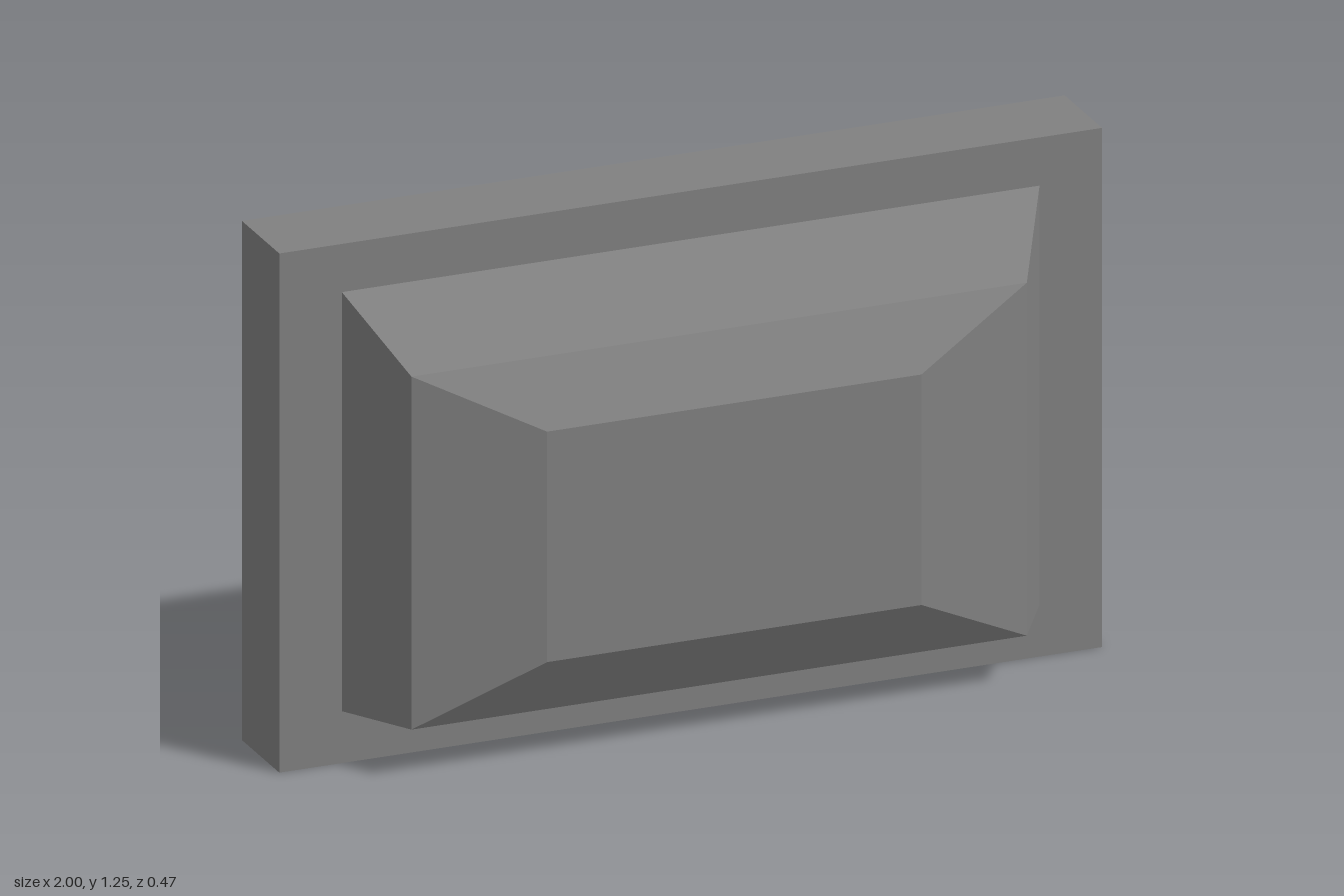
import * as THREE from 'three';

// Joins rectangular rings [halfWidth, bottom, top, z] with flat faces and caps the last ring.
function loftRects(rings) {
  const pos = [];
  const corners = rings.map(([w, y0, y1, z]) => [
    [-w, y0, z], [w, y0, z], [w, y1, z], [-w, y1, z],
  ]);
  const quad = (a, b, c, d) => pos.push(...a, ...b, ...c, ...a, ...c, ...d);
  for (let r = 0; r < corners.length - 1; r++) {
    for (let i = 0; i < 4; i++) {
      const j = (i + 1) % 4;
      quad(corners[r][i], corners[r][j], corners[r + 1][j], corners[r + 1][i]);
    }
  }
  quad(...corners[corners.length - 1]);
  const geo = new THREE.BufferGeometry();
  geo.setAttribute('position', new THREE.Float32BufferAttribute(pos, 3));
  geo.computeVertexNormals();
  return geo;
}

export function createModel() {
  const group = new THREE.Group();
  group.name = 'television';

  const grey = new THREE.MeshStandardMaterial({ color: 0x808080 });
  grey.name = 'grey casing';
  const black = new THREE.MeshStandardMaterial({ color: 0x0c0c0c });
  black.name = 'black screen';

  const add = (name, geo, mat) => {
    const mesh = new THREE.Mesh(geo, mat);
    mesh.name = name;
    group.add(mesh);
    return mesh;
  };

  // Cabinet: recess edge, screen bezel, outer walls and the panel behind the housing
  add('cabinet', loftRects([
    [0.935, 0.05, 1.2, -0.218],
    [0.935, 0.05, 1.2, -0.235],
    [1, 0, 1.25, -0.235],
    [1, 0, 1.25, -0.018],
  ]), grey);

  // Tapered housing that steps in twice
  add('housing', loftRects([
    [0.848, 0.125, 1.134, -0.018],
    [0.748, 0.125, 0.975, 0.147],
    [0.455, 0.275, 0.83, 0.235],
  ]), grey);

  // Screen set slightly into the bezel
  const screen = add('screen', new THREE.BoxGeometry(1.87, 1.15, 0.008), black);
  screen.position.set(0, 0.625, -0.214);

  return group;
}
